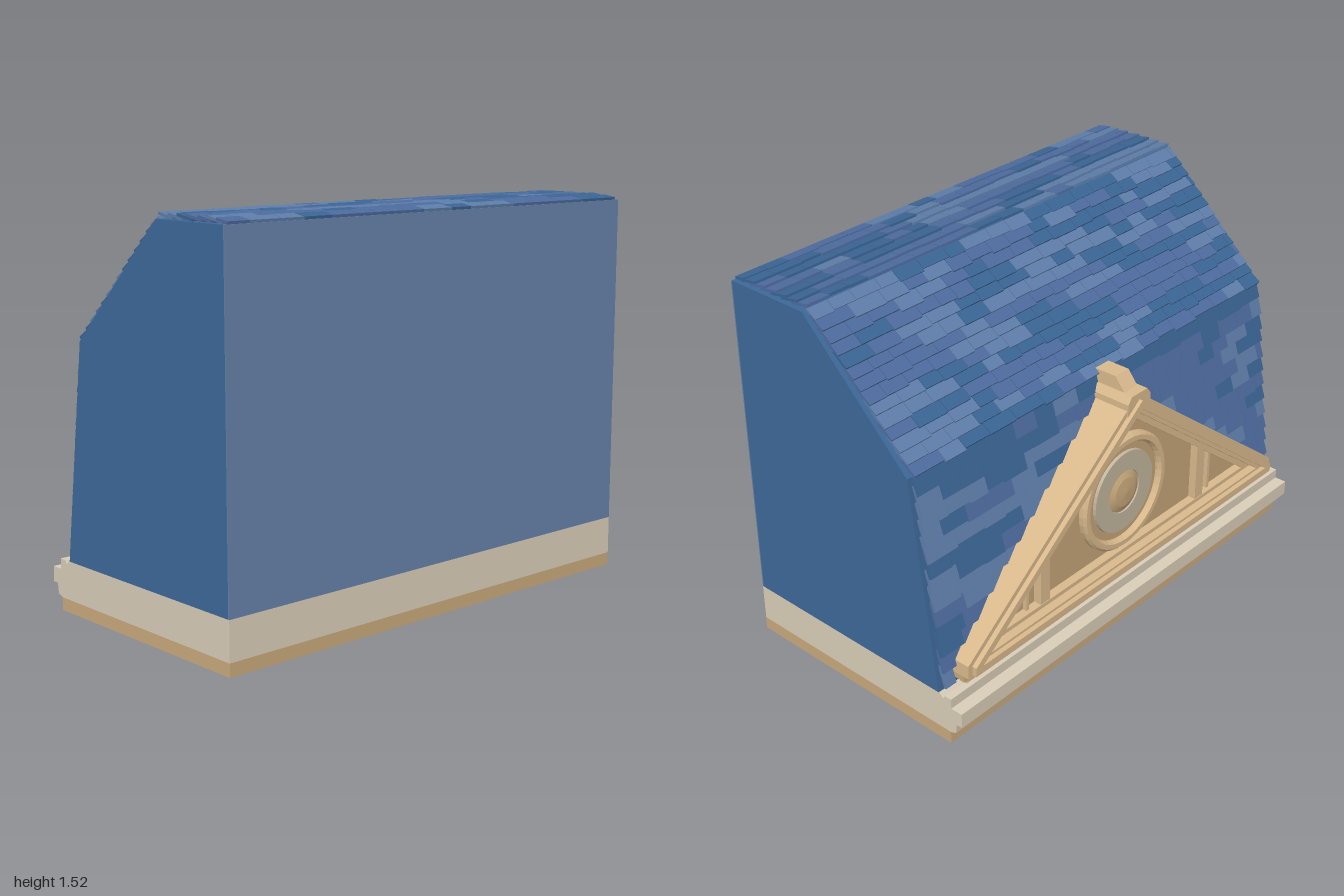
import * as THREE from 'three';
import { mergeGeometries } from 'three/addons/utils/BufferGeometryUtils.js';

const mat = (color) => new THREE.MeshStandardMaterial({ color, flatShading: true });
const WALL = mat(0x3d6898), BACK = mat(0x6680a8), CREAM = mat(0xd9cdb8);
const TAN = mat(0xd9b98c), PANEL = mat(0xc4a478), TRIM = mat(0xc9a97c), STONE = mat(0xc2b49c);
const SLATES = [0x3a6493, 0x4d6b9e, 0x5d7da8].map(mat);

function add(parent, name, geometry, material) {
  const mesh = new THREE.Mesh(geometry, material);
  mesh.name = name;
  parent.add(mesh);
  return mesh;
}
const toShape = (pts) => new THREE.Shape(pts.map(([x, y]) => new THREE.Vector2(x, y)));

// Outline in x/y, extruded along z and centred
function alongZ(pts, length) {
  return new THREE.ExtrudeGeometry(toShape(pts), { depth: length, bevelEnabled: false })
    .translate(0, 0, -length / 2);
}

// Outline in z/y, extruded from x = back out to x = front (towards -x)
function towardsFace(pts, back, front, hole) {
  const shape = toShape(pts);
  if (hole) shape.holes.push(toShape(hole));
  return new THREE.ExtrudeGeometry(shape, { depth: back - front, bevelEnabled: false })
    .rotateY(-Math.PI / 2).translate(back, 0, 0);
}

// Gable outlines share one slope
const SLOPE = 0.77;
const triangle = (apex, base) => {
  const w = (apex - base) / SLOPE;
  return [[-w, base], [w, base], [0, apex]];
};
const gable = (apex, base, w) => {
  const eave = apex - w * SLOPE;
  return [[-w, base], [w, base], [w, eave], [0, apex], [-w, eave]];
};

function seeded(seed) {
  return () => {
    seed = (seed * 16807) % 2147483647;
    return seed / 2147483647;
  };
}

// Overlapping slates laid in rows down each roof plane
function buildSlates() {
  const group = new THREE.Group();
  group.name = 'slates';
  const rand = seeded(421);
  const buckets = SLATES.map(() => []);
  const planes = [
    { a: [0.52, 1.5], b: [0.15, 1.5], rows: 7, tilt: 0.17 },
    { a: [0.16, 1.5], b: [-0.32, 1.035], rows: 14, tilt: 0.17 },
    { a: [-0.31, 1.04], b: [-0.415, 0.205], rows: 13, tilt: 0.2, gable: true },
  ];
  for (const { a, b, rows, tilt, gable: hasGable } of planes) {
    const length = Math.hypot(b[0] - a[0], b[1] - a[1]);
    const step = length / rows;
    const d = [(b[0] - a[0]) / length, (b[1] - a[1]) / length];
    const n = [d[1], -d[0]];
    const t = [0, 1].map((i) => d[i] * Math.cos(tilt) + n[i] * Math.sin(tilt));
    const angle = Math.atan2(t[1], t[0]);
    for (let r = 0; r < rows; r++) {
      const end = (r + 1) * step;
      const yEnd = a[1] + d[1] * end;
      // Leave the gable opening free
      const gap = hasGable ? Math.min(0.93, Math.max(0, (1.0 - yEnd) / SLOPE - 0.07)) : 0;
      const spans = gap > 0.02 ? [[-0.985, -gap], [gap, 0.985]] : [[-0.985, 0.985]];
      for (const [from, to] of spans) {
        let pick = Math.floor(rand() * 3);
        for (let z = from; z < to - 0.005;) {
          const width = Math.min(0.08 + rand() * 0.07, to - z);
          if (rand() < 0.6) pick = Math.floor(rand() * 3);
          const len = Math.min(end, step * 1.5) + (rand() - 0.5) * 0.012;
          const start = Math.max(0, end - step * 1.5);
          const c = [0, 1].map((i) => a[i] + d[i] * start + t[i] * len / 2 + n[i] * 0.005);
          buckets[pick].push(new THREE.BoxGeometry(len, 0.01, width - 0.003)
            .rotateZ(angle).translate(c[0], c[1], z + width / 2));
          z += width;
        }
      }
    }
  }
  buckets.forEach((list, i) => add(group, 'slateShade' + (i + 1), mergeGeometries(list), SLATES[i]));
  return group;
}

function buildGable() {
  const group = new THREE.Group();
  group.name = 'gable';

  // Recessed panel, deep frame, stepped mouldings
  add(group, 'gablePanel', towardsFace(triangle(0.96, 0.26), -0.3, -0.42), PANEL);
  add(group, 'gableFrame', towardsFace(gable(1.01, 0.245, 0.92), -0.28, -0.49, triangle(0.93, 0.295)), TAN);
  add(group, 'frontMoulding', towardsFace(gable(0.985, 0.255, 0.9), -0.49, -0.51, triangle(0.95, 0.285)), TAN);
  add(group, 'innerMoulding', towardsFace(triangle(0.94, 0.29), -0.41, -0.455, triangle(0.9, 0.312)), TAN);
  add(group, 'lowerLedge', new THREE.BoxGeometry(0.1, 0.022, 1.84).translate(-0.42, 0.234, 0), TRIM);
  add(group, 'lowerLedgeFoot', new THREE.BoxGeometry(0.09, 0.03, 1.8).translate(-0.415, 0.21, 0), TAN);

  // Posts beside the roundel
  for (const side of [-1, 1]) {
    add(group, 'post', new THREE.BoxGeometry(0.045, 0.27, 0.05).translate(-0.43, 0.43, side * 0.47), TAN);
    add(group, 'thinPost', new THREE.BoxGeometry(0.025, 0.2, 0.015).translate(-0.425, 0.39, side * 0.55), TAN);
  }

  // Roundel: turned rings with a domed centre
  const ring = (name, pts, material) => add(group, name,
    new THREE.LatheGeometry(pts.map(([x, y]) => new THREE.Vector2(x, y)), 40)
      .rotateZ(Math.PI / 2).translate(-0.415, 0.56, 0), material);
  ring('roundelRim', [[0.245, 0], [0.245, 0.025], [0.235, 0.035], [0.215, 0.035], [0.205, 0.02], [0.205, 0]], TAN);
  ring('roundelField', [[0.21, 0], [0.21, 0.012], [0.16, 0.012]], PANEL);
  ring('roundelBand', [[0.175, 0], [0.17, 0.024], [0.09, 0.024], [0.085, 0]], STONE);
  ring('roundelBoss', [[0.09, 0], [0.088, 0.018], [0.06, 0.03], [0, 0.036]], TRIM);

  // Ridge cap over the apex
  const cap = [[-0.065, 0.93], [0.065, 0.93], [0.065, 0.985], [0.045, 1.012], [-0.045, 1.012], [-0.065, 0.985]];
  add(group, 'apexBlock', towardsFace(cap, -0.3, -0.495), TAN);
  add(group, 'ridgeCap', alongZ([[-0.27, 0.97], [-0.27, 1.065], [-0.41, 1.065], [-0.455, 1.01], [-0.455, 0.97]], 0.075), TAN);
  return group;
}

export function createModel() {
  const model = new THREE.Group();
  model.name = 'mansardRoof';

  // Base course with a moulded cornice on the gable side
  add(model, 'baseTrim', alongZ([[-0.475, 0], [0.525, 0], [0.525, 0.05], [-0.475, 0.05]], 2), TRIM);
  add(model, 'cornice', alongZ([[0.525, 0.05], [0.525, 0.2], [-0.425, 0.2], [-0.44, 0.185], [-0.45, 0.2],
    [-0.48, 0.2], [-0.48, 0.16], [-0.53, 0.16], [-0.53, 0.1], [-0.505, 0.1], [-0.5, 0.06], [-0.475, 0.05]].reverse(), 2), CREAM);

  // Roof body and flat back wall
  add(model, 'roofBody', alongZ([[-0.42, 0.2], [0.52, 0.2], [0.52, 1.5], [0.16, 1.5], [-0.31, 1.04]], 2), WALL);
  add(model, 'backWall', new THREE.BoxGeometry(0.005, 1.3, 2).translate(0.5225, 0.85, 0), BACK);

  model.add(buildSlates(), buildGable());
  return model;
}
